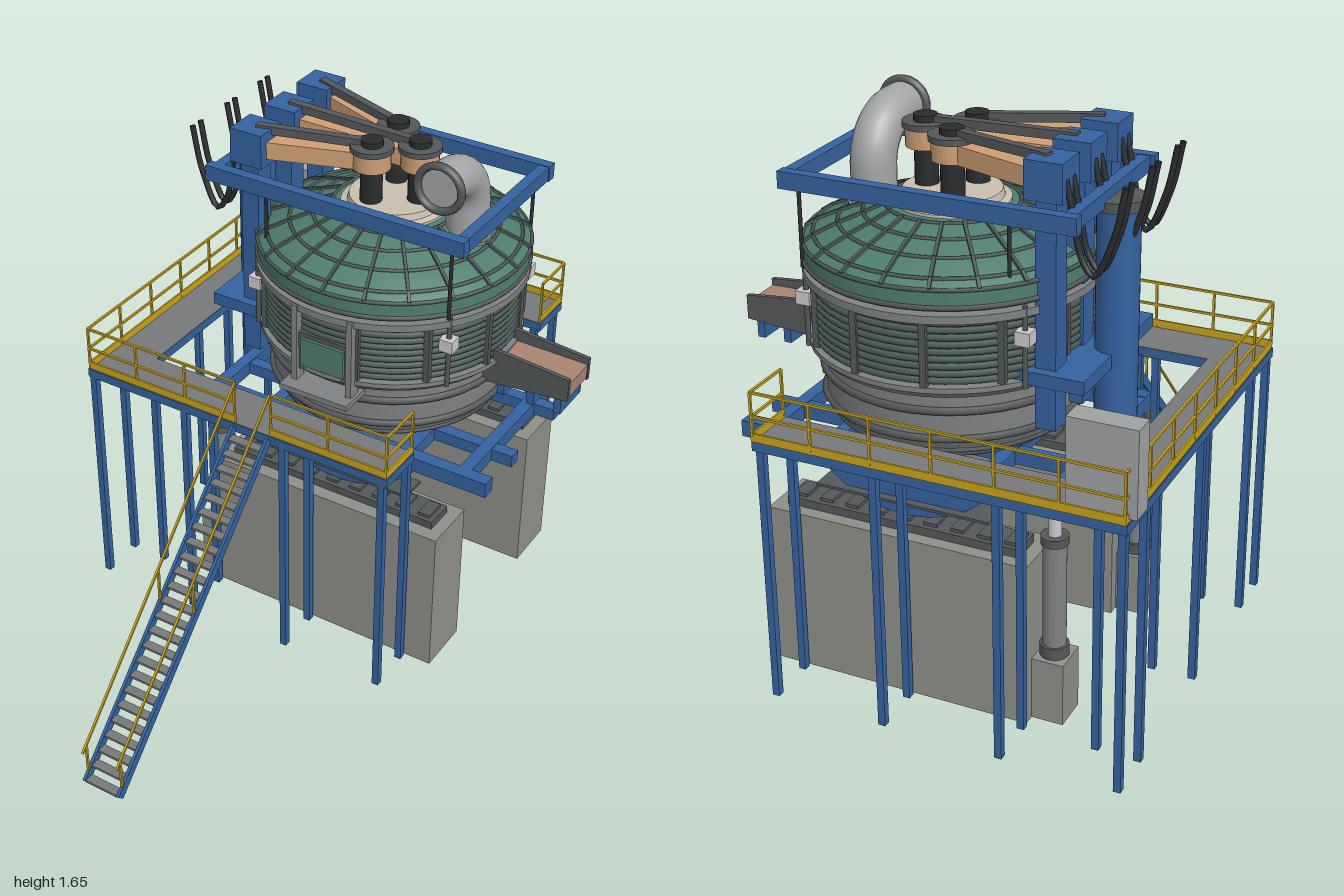
import * as THREE from 'three';
import { toCreasedNormals } from 'three/addons/utils/BufferGeometryUtils.js';

const BLUE = 0x34629f, DARK = 0x55585a, STEEL = 0x7f8284, PIER = 0x8f8f8a, GREEN = 0x4f7d70,
  PANEL = 0x4a5a57, TAN = 0xcf9f74, YELLOW = 0xc9a41c, BLACK = 0x2a2c2e, CREAM = 0xc9bfae, DECK = 0x77797a;
const CX = 0.065, CZ = -0.41; // vessel axis

const mats = {};
const mat = (c) => (mats[c] ??= new THREE.MeshStandardMaterial({ color: c, side: THREE.DoubleSide }));
const V = (x, y, z) => new THREE.Vector3(x, y, z);

export function createModel() {
  const root = new THREE.Group();
  root.name = 'arcFurnace';
  let part = root;
  const group = (name) => {
    part = new THREE.Group();
    part.name = name;
    root.add(part);
  };
  const add = (name, geo, color, x = 0, y = 0, z = 0) => {
    const m = new THREE.Mesh(geo, mat(color));
    m.name = name;
    m.position.set(x, y, z);
    part.add(m);
    return m;
  };
  // box from min/max extents
  const box = (name, c, x0, x1, y0, y1, z0, z1) =>
    add(name, new THREE.BoxGeometry(x1 - x0, y1 - y0, z1 - z0), c, (x0 + x1) / 2, (y0 + y1) / 2, (z0 + z1) / 2);
  // straight bar of section w x h between two points
  const bar = (name, c, a, b, w, h = w) => {
    const mid = a.clone().add(b).multiplyScalar(0.5);
    const m = add(name, new THREE.BoxGeometry(w, h, a.distanceTo(b)), c, mid.x, mid.y, mid.z);
    m.lookAt(b);
    return m;
  };
  const cyl = (name, c, x, z, r, y0, y1, n = 24) =>
    add(name, new THREE.CylinderGeometry(r, r, y1 - y0, n), c, x, (y0 + y1) / 2, z);
  const lathe = (name, c, pts) =>
    add(name, toCreasedNormals(new THREE.LatheGeometry(pts.map((p) => new THREE.Vector2(...p)), 48), 0.4), c, CX, 0, CZ);
  const ring = (name, c, r, y, t) => {
    const m = add(name, new THREE.TorusGeometry(r, t, 6, 48), c, CX, y, CZ);
    m.rotation.x = Math.PI / 2;
  };
  const polar = (a, r, y) => V(CX + r * Math.cos(a), y, CZ + r * Math.sin(a));

  // ---- concrete piers, rocker tracks, rockers, tilt cylinders
  group('foundation');
  for (const [z0, z1, zc] of [[-0.19, -0.005, -0.1], [-0.81, -0.625, -0.72]]) {
    box('pier', PIER, -0.34, 0.47, 0.015, 0.52, z0, z1);
    box('cylinderPlinth', PIER, -0.435, -0.34, 0.015, 0.21, zc - 0.055, zc + 0.055);
    box('rockerTrack', DARK, -0.3, 0.43, 0.52, 0.545, zc - 0.05, zc + 0.05);
    for (let i = 0; i < 9; i++) box('trackLug', DARK, -0.29 + i * 0.083, -0.25 + i * 0.083, 0.545, 0.555, zc - 0.035, zc + 0.035);
    // circular rocker segment
    const half = Math.asin(0.28 / 0.358), s = new THREE.Shape();
    s.absarc(CX, 0.913, 0.358, -Math.PI / 2 - half, -Math.PI / 2 + half, false);
    add('rocker', new THREE.ExtrudeGeometry(s, { depth: 0.04, bevelEnabled: false, curveSegments: 32 }), BLUE, 0, 0, zc - 0.02);
    box('rockerFlange', DARK, -0.205, 0.335, 0.598, 0.606, zc - 0.045, zc + 0.045);
    cyl('cylinderBase', DARK, -0.385, zc, 0.042, 0.21, 0.245);
    cyl('tiltCylinder', STEEL, -0.385, zc, 0.034, 0.245, 0.57);
    cyl('cylinderGland', DARK, -0.385, zc, 0.04, 0.565, 0.59);
    cyl('cylinderRod', 0xcccccc, -0.385, zc, 0.019, 0.59, 0.66);
    box('cylinderClevis', DARK, -0.41, -0.36, 0.65, 0.7, zc - 0.025, zc + 0.025);
  }

  // ---- tilting cradle
  group('tiltFrame');
  for (const z of [-0.72, -0.1]) box('cradleBeam', BLUE, -0.41, 0.59, 0.69, 0.74, z - 0.022, z + 0.022);
  for (const z of [-0.56, -0.27]) box('innerBeam', BLUE, -0.41, 0.59, 0.695, 0.735, z - 0.02, z + 0.02);
  for (const x of [-0.39, -0.18, 0.3, 0.5]) box('crossBeam', BLUE, x - 0.02, x + 0.02, 0.692, 0.738, -0.72, -0.1);

  // ---- vessel: lower bowl and upper shell
  group('vessel');
  lathe('lowerShell', STEEL, [[0, 0.72], [0.22, 0.725], [0.29, 0.745], [0.345, 0.775], [0.37, 0.82], [0.375, 0.98], [0.375, 1.0]]);
  for (const [r, y, t] of [[0.31, 0.755, 0.008], [0.35, 0.785, 0.008], [0.374, 0.83, 0.011], [0.376, 0.915, 0.012]]) ring('shellBand', DARK, r, y, t);
  lathe('shellFlange', STEEL, [[0.37, 0.965], [0.395, 0.965], [0.415, 0.985], [0.415, 1.0], [0.37, 1.0]]);
  lathe('upperShell', DARK, [[0.385, 1.0], [0.385, 1.2]]);
  for (let i = 0; i < 9; i++) ring('coolingPipe', PANEL, 0.397, 1.015 + i * 0.021, 0.0095);
  for (let i = 0; i < 12; i++) {
    const a = ((i + 0.5) / 12) * Math.PI * 2;
    bar('panelPost', DARK, polar(a, 0.402, 1.0), polar(a, 0.402, 1.2), 0.02);
  }
  lathe('topRing', STEEL, [[0.38, 1.19], [0.425, 1.19], [0.425, 1.213], [0.38, 1.213]]);
  for (const sx of [-1, 1]) for (const sz of [-1, 1]) {
    const x = CX + sx * 0.335, z = CZ + sz * 0.25;
    cyl('shellPost', DARK, x, z, 0.008, 0.98, 1.22, 8);
    box('shellClamp', 0xcccccc, x - 0.022, x + 0.022, 1.11, 1.15, z - 0.022, z + 0.022);
  }
  // slag door on the front
  box('doorFrame', DARK, -0.035, 0.165, 0.985, 1.115, -0.06, 0.0);
  box('slagDoor', GREEN, -0.01, 0.14, 1.005, 1.1, -0.01, 0.01);
  for (const x of [-0.03, 0.16]) box('doorGuide', STEEL, x - 0.01, x + 0.01, 0.93, 1.21, -0.03, 0.012);
  box('doorSill', STEEL, -0.055, 0.18, 0.93, 0.948, -0.07, 0.055);

  // ---- tapping launder
  group('launder');
  const side = new THREE.Shape([[0.42, 0.91], [0.715, 0.935], [0.715, 1.01], [0.42, 1.037]].map((p) => new THREE.Vector2(...p)));
  for (const z of [-0.488, -0.35])
    add('launderWall', new THREE.ExtrudeGeometry(side, { depth: 0.014, bevelEnabled: false }), DARK, 0, 0, z);
  bar('launderLining', 0xa98470, V(0.4, 0.97, -0.412), V(0.712, 0.965, -0.412), 0.13, 0.05);
  for (const x of [0.49, 0.59, 0.68]) box('launderSupport', BLUE, x - 0.012, x + 0.012, 0.875, 0.94, -0.475, -0.345);

  // ---- domed roof
  group('roof');
  const dome = [[0.42, 1.285], [0.39, 1.305], [0.32, 1.335], [0.25, 1.36], [0.19, 1.383], [0.14, 1.39]];
  lathe('roofShell', GREEN, [[0.38, 1.215], [0.42, 1.225], ...dome]);
  for (const [r, y] of dome.slice(0, 5)) ring('roofRing', PANEL, r, y, 0.006);
  ring('roofSkirtRing', DARK, 0.419, 1.235, 0.008);
  for (let i = 0; i < 20; i++) {
    const a = (i / 20) * Math.PI * 2;
    for (let k = 0; k < 4; k++)
      bar('roofRib', PANEL, polar(a, dome[k][0], dome[k][1]), polar(a, dome[k + 1][0], dome[k + 1][1]), 0.01, 0.016);
  }
  lathe('roofCentre', CREAM, [[0.165, 1.375], [0.165, 1.395], [0.145, 1.4], [0.14, 1.42], [0, 1.422]]);

  // ---- exhaust elbow
  group('exhaust');
  const path = new THREE.CurvePath();
  path.add(new THREE.LineCurve3(V(0.305, 1.27, -0.425), V(0.305, 1.45, -0.425)));
  path.add(new THREE.CubicBezierCurve3(V(0.305, 1.45, -0.425), V(0.305, 1.525, -0.425), V(0.305, 1.58, -0.37), V(0.305, 1.58, -0.29)));
  path.add(new THREE.LineCurve3(V(0.305, 1.58, -0.29), V(0.305, 1.58, -0.23)));
  add('elbowPipe', new THREE.TubeGeometry(path, 40, 0.066, 24), 0xa3a5a7);
  const flange = add('elbowFlange', new THREE.TorusGeometry(0.071, 0.012, 8, 32), DARK, 0.305, 1.58, -0.236);
  flange.scale.z = 1.2;
  add('elbowCover', new THREE.CircleGeometry(0.066, 32), 0xa3a5a7, 0.305, 1.58, -0.24);
  cyl('pipeCollar', STEEL, 0.305, -0.425, 0.076, 1.33, 1.35);

  // ---- roof lifting gantry
  group('gantry');
  for (const z of [-0.68, -0.14]) box('gantryBeam', BLUE, -0.43, 0.45, 1.45, 1.5, z - 0.017, z + 0.017);
  for (const x of [-0.4, 0.43]) box('gantryCross', BLUE, x - 0.017, x + 0.017, 1.452, 1.498, -0.68, -0.14);
  for (const x of [-0.23, 0.4]) for (const z of [-0.67, -0.15]) cyl('hangerRod', BLACK, x, z, 0.006, 1.22, 1.46, 8);
  cyl('mainMast', BLUE, -0.43, CZ, 0.061, 0.64, 1.44, 32);
  cyl('mastCap', DARK, -0.43, CZ, 0.074, 1.44, 1.47, 32);
  box('mastBracket', BLUE, -0.44, -0.235, 0.99, 1.03, -0.66, -0.16);

  // ---- electrode masts, arms, electrodes and power cables
  group('electrodes');
  for (const [zm, xe, ze] of [[-0.595, 0.025, -0.487], [-0.41, 0.145, -0.41], [-0.225, 0.025, -0.333]]) {
    box('electrodeMast', BLUE, -0.345, -0.285, 0.85, 1.51, zm - 0.035, zm + 0.035);
    box('mastHead', BLUE, -0.37, -0.26, 1.51, 1.62, zm - 0.055, zm + 0.055);
    bar('electrodeArm', TAN, V(-0.27, 1.56, zm), V(xe, 1.555, ze), 0.055, 0.055);
    bar('busBar', DARK, V(-0.31, 1.615, zm), V(xe, 1.605, ze), 0.026, 0.026);
    cyl('electrodeClamp', TAN, xe, ze, 0.058, 1.53, 1.585);
    cyl('clampCap', DARK, xe, ze, 0.066, 1.585, 1.602);
    cyl('electrode', BLACK, xe, ze, 0.034, 1.4, 1.62);
    for (const dz of [-0.021, 0.021]) {
      const curve = new THREE.CatmullRomCurve3([[-0.53, 1.57], [-0.5, 1.43], [-0.445, 1.315], [-0.41, 1.36], [-0.385, 1.48], [-0.365, 1.57]]
        .map(([x, y]) => V(x, y, zm + dz)));
      add('powerCable', new THREE.TubeGeometry(curve, 28, 0.009, 8), BLACK);
    }
  }

  // ---- U-shaped service platform
  group('platform');
  for (const [x0, x1, z0, z1] of [[-0.7, -0.55, -0.83, 0.01], [-0.7, 0.39, -0.99, -0.83], [-0.7, 0.39, 0.01, 0.17]]) {
    box('deck', DECK, x0, x1, 0.822, 0.836, z0, z1);
    for (const z of [z0 + 0.008, z1 - 0.008]) box('deckBeam', BLUE, x0, x1, 0.805, 0.834, z - 0.009, z + 0.009);
    for (const x of [x0 + 0.008, x1 - 0.008]) box('deckBeam', BLUE, x - 0.009, x + 0.009, 0.805, 0.834, z0, z1);
  }
  const post = (x, z) => box('column', BLUE, x - 0.011, x + 0.011, 0.015, 0.81, z - 0.011, z + 0.011);
  for (const x of [-0.685, -0.335, 0.025, 0.37]) for (const z of [-0.975, -0.83, 0.015, 0.158]) post(x, z);
  for (const z of [-0.83, -0.405, 0.015]) post(-0.56, z);
  post(-0.685, -0.405);

  // ---- guard rails with toe boards
  group('railings');
  const rail = (x0, z0, x1, z1) => {
    const at = (t, y) => V(x0 + (x1 - x0) * t, y, z0 + (z1 - z0) * t);
    const n = Math.max(1, Math.round(Math.hypot(x1 - x0, z1 - z0) / 0.17));
    for (const y of [0.91, 0.982]) bar('handRail', YELLOW, at(0, y), at(1, y), 0.007);
    bar('toeBoard', YELLOW, at(0, 0.848), at(1, 0.848), 0.006, 0.025);
    for (let i = 0; i <= n; i++) bar('railPost', YELLOW, at(i / n, 0.835), at(i / n, 0.982), 0.007);
  };
  rail(-0.695, 0.165, -0.145, 0.165);
  rail(-0.015, 0.165, 0.385, 0.165);
  rail(-0.695, -0.992, -0.695, 0.165);
  rail(-0.695, -0.992, 0.385, -0.992);
  rail(0.385, 0.015, 0.385, 0.165);
  rail(0.385, -0.992, 0.385, -0.835);

  // ---- stairs
  group('stairs');
  for (const x of [-0.142, -0.018]) {
    bar('stringer', BLUE, V(x, 0.825, 0.175), V(x, 0.022, 0.99), 0.01, 0.03);
    bar('stairRail', YELLOW, V(x, 0.982, 0.165), V(x, 0.14, 0.995), 0.007);
    for (const z of [0.585, 0.975]) bar('stairPost', YELLOW, V(x, 0.825 - (z - 0.175) * 0.985, z), V(x, 0.982 - (z - 0.165) * 1.014, z), 0.007);
  }
  for (let i = 0; i < 24; i++) {
    const y = 0.8 - i * 0.0335, z = 0.2 + i * 0.034;
    box('tread', DECK, -0.138, -0.022, y - 0.004, y + 0.004, z - 0.015, z + 0.015);
  }

  // ---- control cabinet
  group('cabinet');
  box('cabinetBody', 0xa0a2a3, -0.72, -0.525, 0.845, 1.095, -0.975, -0.905);
  for (const [x, c] of [[-0.66, 0xc8322d], [-0.585, 0x3c9a50]])
    add('button', new THREE.CylinderGeometry(0.008, 0.008, 0.01, 16), c, x, 1.07, -0.902).rotation.x = Math.PI / 2;

  return root;
}
